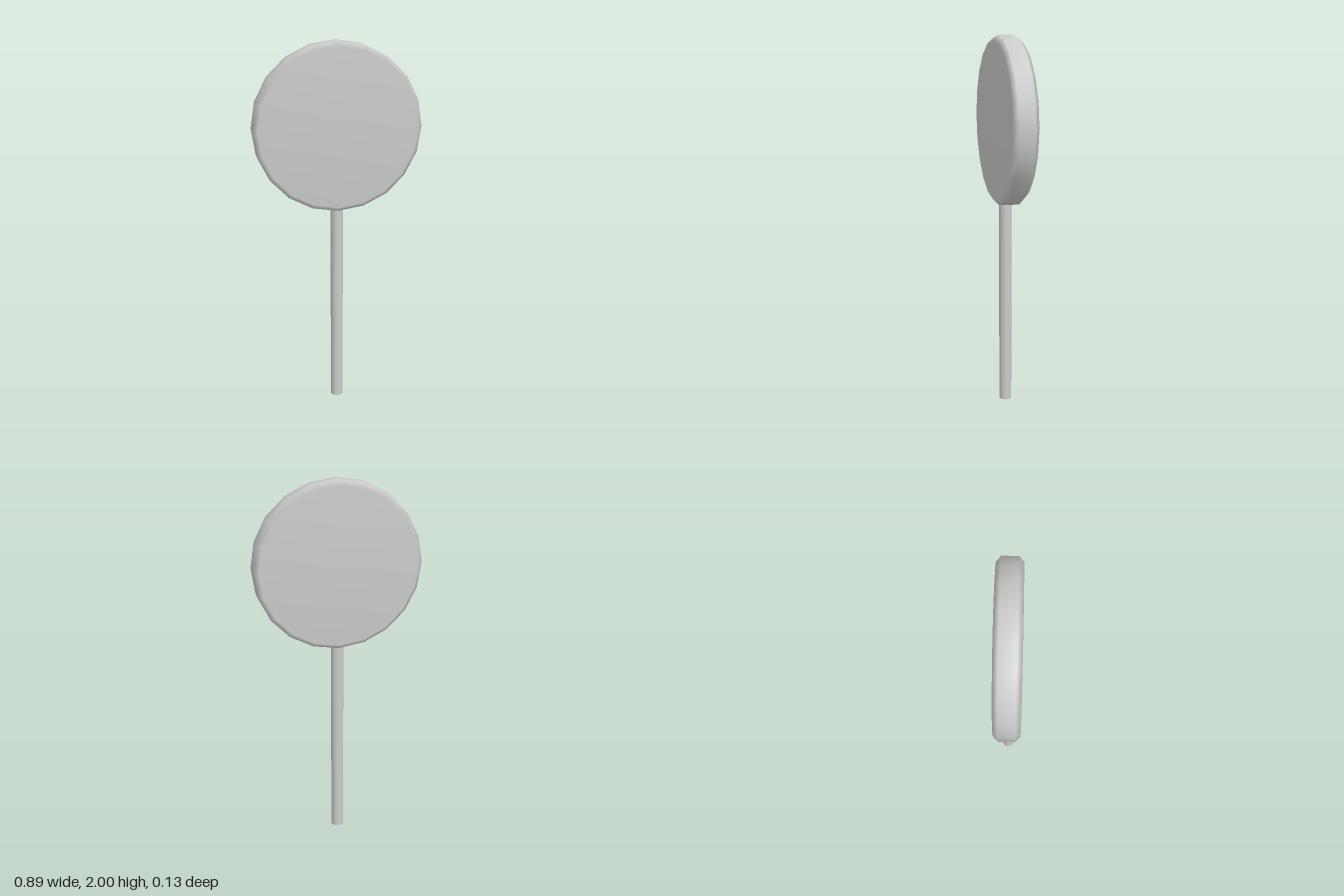
import * as THREE from 'three';

export function createModel() {
  const group = new THREE.Group();
  const material = new THREE.MeshStandardMaterial({ color: 0xcccccc });

  // Round head: a 20-sided disc with chamfered, softly shaded rims
  const R = 0.443, inner = 0.417, half = 0.066, rim = 0.041;
  const profile = [
    [0, -half], [inner, -half], [R, -rim],
    [R, rim], [inner, half], [0, half],
  ].map(([r, h]) => new THREE.Vector2(r, h));
  const headGeometry = new THREE.LatheGeometry(profile, 20);
  headGeometry.rotateX(Math.PI / 2);
  const head = new THREE.Mesh(headGeometry, material);
  head.name = 'head';
  head.position.y = 2 - R;
  group.add(head);

  // Straight round stick, ending just inside the head
  const stickHeight = 1.14;
  const stick = new THREE.Mesh(
    new THREE.CylinderGeometry(0.034, 0.034, stickHeight, 16), material);
  stick.name = 'stick';
  stick.position.y = stickHeight / 2;
  group.add(stick);

  return group;
}
